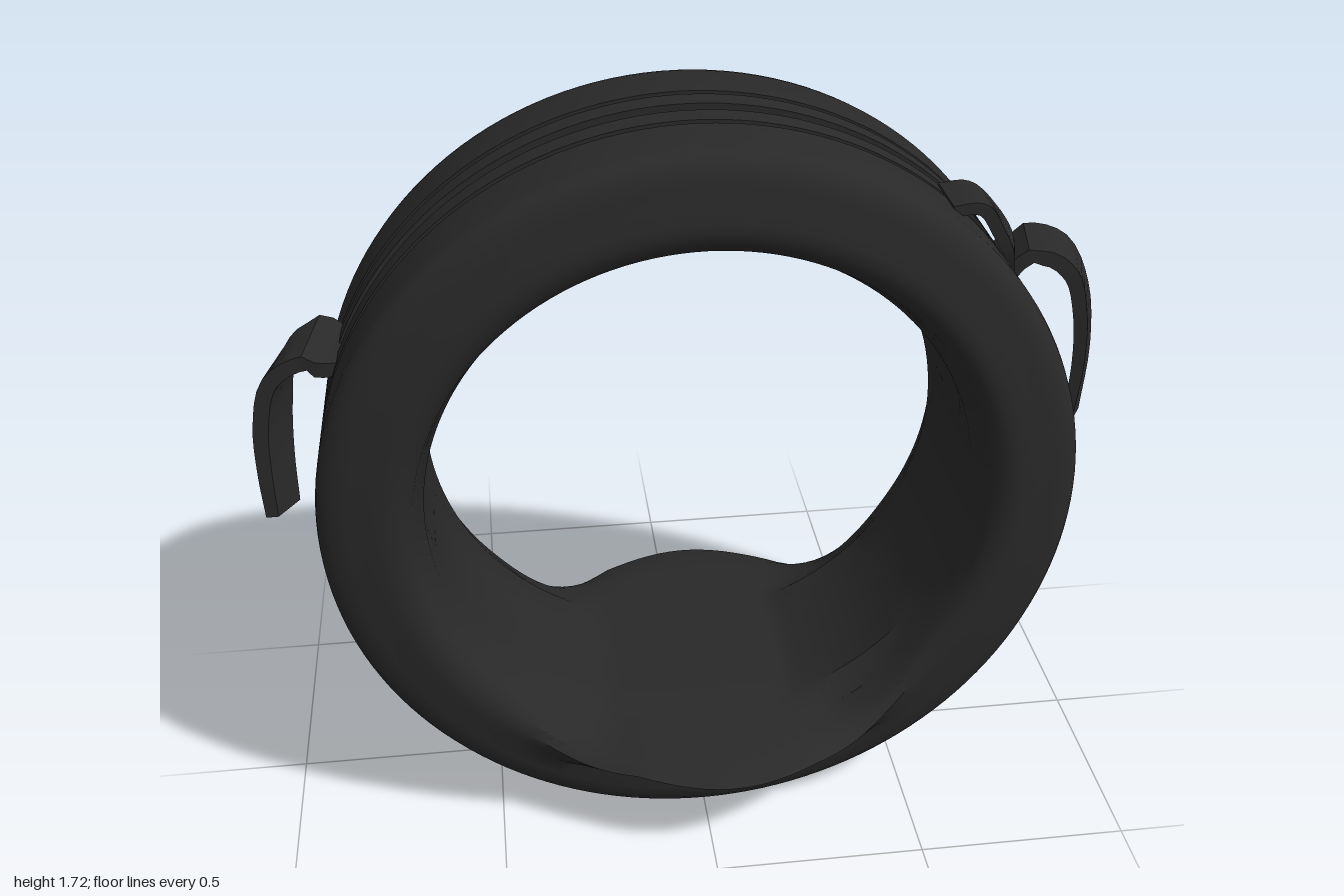
import * as THREE from 'three';
import { toCreasedNormals } from 'three/addons/utils/BufferGeometryUtils.js';

const CY = 0.865; // height of the wheel axis
const rubber = new THREE.MeshStandardMaterial({ color: 0x292929 });
rubber.name = 'black rubber';

// Skin a list of equal-length closed loops; either join the ends or cap them
function loft(rings, closed, crease) {
  const n = rings[0].length, m = rings.length, index = [];
  for (let i = 0; i < (closed ? m : m - 1); i++) {
    const k = (i + 1) % m;
    for (let j = 0; j < n; j++) {
      const l = (j + 1) % n;
      const a = i * n + j, b = i * n + l, c = k * n + j, d = k * n + l;
      index.push(a, b, c, b, d, c);
    }
  }
  if (!closed) {
    const e = (m - 1) * n;
    for (let j = 1; j < n - 1; j++) index.push(0, j + 1, j, e, e + j, e + j + 1);
  }
  const g = new THREE.BufferGeometry();
  g.setAttribute('position', new THREE.Float32BufferAttribute(rings.flat(2), 3));
  g.setIndex(index);
  return toCreasedNormals(g, crease);
}

// Half section from the inner face round to the middle groove:
// [radius, z, height it is squashed to at the flat spot, z it is pushed out to]
const half = [
  [0.628, 0.10], [0.625, 0.20],
  [0.64, 0.24, 0.275, 0.27], [0.65, 0.275, 0.275, 0.36], [0.67, 0.293, 0.262, 0.44],
  [0.695, 0.30, 0.248, 0.49], [0.72, 0.30, 0.225, 0.41], [0.75, 0.293, 0.2, 0.30],
  [0.79, 0.287], [0.825, 0.28], [0.845, 0.265], [0.855, 0.25], [0.858, 0.235],
  [0.858, 0.10], [0.835, 0.10], [0.835, 0.08], [0.858, 0.08],
  [0.858, 0.02], [0.835, 0.02],
];
const section = [...half, ...half.slice().reverse().map(([r, z, y, o]) => [r, -z, y, o && -o])];

// Tyre: section swept round the axis, with a flat spot and bulging lips below
function makeTyre() {
  const rings = [], steps = 144;
  for (let i = 0; i < steps; i++) {
    const a = (i / steps) * Math.PI * 2;
    rings.push(section.map(([r, z, squashY, pushZ]) => {
      const x = r * Math.sin(a);
      let y = CY - r * Math.cos(a);
      if (y < CY) {
        const u = Math.min(1, Math.abs(x - 0.04) / 0.53);
        const w = Math.cos(u * Math.PI / 2) ** 2;
        if (squashY) {
          y = THREE.MathUtils.lerp(y, squashY, Math.min(1, w * 1.6));
          z = THREE.MathUtils.lerp(z, pushZ, w);
        } else if (r < 0.64) {
          y = Math.max(y, 0.28);
        }
      }
      return [x, y, z];
    }));
  }
  return loft(rings, true, 0.6);
}

// Torn tread strip; points are [x, y, z, half width, half thickness, skew]
function makeStrip(points) {
  const path = new THREE.CatmullRomCurve3(points.map(p => new THREE.Vector3(p[0], p[1], p[2])));
  const size = new THREE.CatmullRomCurve3(points.map(p => new THREE.Vector3(p[3], p[4], p[5])));
  const rings = [], steps = 20;
  for (let i = 0; i <= steps; i++) {
    const p = path.getPoint(i / steps), s = size.getPoint(i / steps), t = path.getTangent(i / steps);
    const len = Math.hypot(t.x, t.y);
    const nx = -t.y / len, ny = t.x / len;
    rings.push([[1, -1], [1, 1], [-1, 1], [-1, -1]].map(([side, edge]) => {
      const off = side * s.y + edge * s.z;
      return [p.x + nx * off, p.y + ny * off, p.z + edge * s.x];
    }));
  }
  return loft(rings, false, 0.6);
}

const strips = {
  leftTornStrip: [
    [0.71, 1.29, -0.05, 0.08, 0.018, 0], [0.80, 1.34, -0.05, 0.08, 0.018, 0],
    [0.885, 1.30, -0.052, 0.078, 0.018, -0.015], [0.935, 1.19, -0.055, 0.066, 0.017, -0.024],
    [0.955, 1.04, -0.058, 0.05, 0.016, -0.024], [0.948, 0.87, -0.06, 0.032, 0.014, -0.02],
  ],
  rightTornStrip: [
    [-0.76, 1.18, -0.02, 0.08, 0.018, 0], [-0.86, 1.20, -0.02, 0.08, 0.018, 0],
    [-0.925, 1.15, -0.01, 0.072, 0.018, -0.016], [-0.95, 1.05, 0.005, 0.06, 0.017, -0.022],
    [-0.957, 0.93, 0.02, 0.045, 0.016, -0.022], [-0.955, 0.81, 0.03, 0.033, 0.014, -0.022],
  ],
  smallTornStrip: [
    [0.54, 1.525, 0.098, 0.066, 0.012, 0], [0.605, 1.525, 0.098, 0.066, 0.014, 0],
    [0.655, 1.47, 0.098, 0.055, 0.014, -0.008], [0.69, 1.41, 0.105, 0.035, 0.012, -0.01],
    [0.695, 1.355, 0.112, 0.01, 0.008, 0],
  ],
};

export function createModel() {
  const model = new THREE.Group();
  model.name = 'flatTyre';
  const add = (name, geometry) => {
    const mesh = new THREE.Mesh(geometry, rubber);
    mesh.name = name;
    model.add(mesh);
  };
  add('tyre', makeTyre());
  for (const [name, points] of Object.entries(strips)) add(name, makeStrip(points));
  return model;
}
